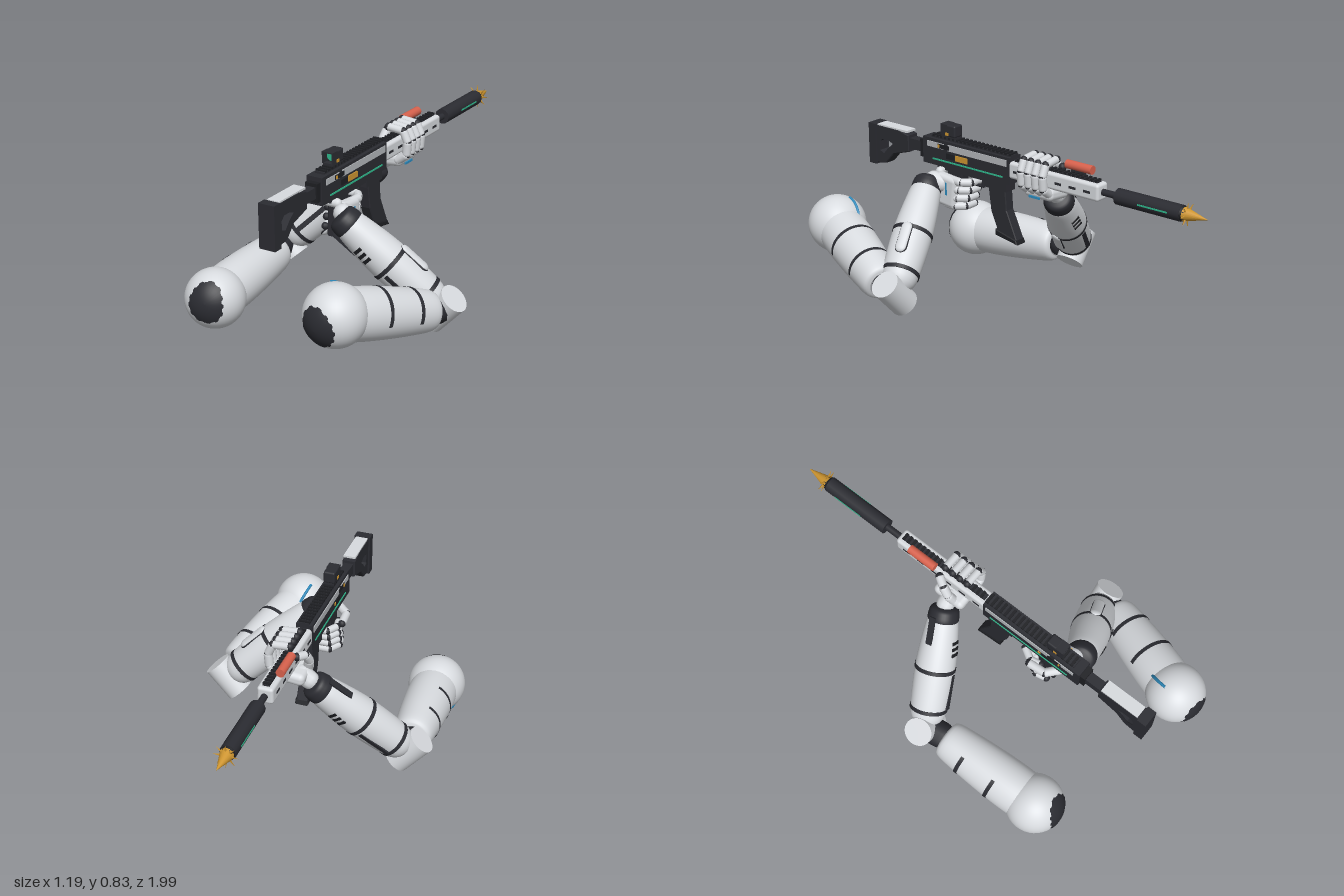
import * as THREE from 'three';
import { RoundedBoxGeometry } from 'three/addons/geometries/RoundedBoxGeometry.js';

const mat = (name, color) => Object.assign(new THREE.MeshStandardMaterial({ color }), { name });
const white = mat('armour white', 0xd8dbdf), dark = mat('charcoal', 0x2b2c32), black = mat('black', 0x1e1f23);
const grey = mat('panel grey', 0xb4b7bb), gold = mat('gold', 0xcf9630), red = mat('red', 0xd8624d);
const green = mat('green', 0x2fb88c), blue = mat('blue', 0x2e8cbf);
dark.side = THREE.DoubleSide;
const V = (x, y, z) => new THREE.Vector3(x, y, z);
const UP = V(0, 1, 0);

function add(parent, name, geo, material, x = 0, y = 0, z = 0) {
  const m = new THREE.Mesh(geo, material);
  m.name = name;
  m.position.set(x, y, z);
  parent.add(m);
  return m;
}
const box = (p, name, m, x, y, z, w, h, d) => add(p, name, new THREE.BoxGeometry(w, h, d), m, x, y, z);
// cylinder along z, from z0 (radius r0) forward to z1 (radius r1)
function rod(p, name, m, x, y, z0, z1, r0, r1 = r0, sides = 20) {
  const g = new THREE.CylinderGeometry(r1, r0, Math.abs(z1 - z0), sides).rotateX(-Math.PI / 2);
  return add(p, name, g, m, x, y, (z0 + z1) / 2);
}
// side profile in (z, y), extruded across x
function sidePlate(p, name, m, pts, width, hole) {
  const s = new THREE.Shape(pts.map(a => new THREE.Vector2(...a)));
  if (hole) s.holes.push(new THREE.Path(hole.map(a => new THREE.Vector2(...a))));
  const b = 0.004;
  const g = new THREE.ExtrudeGeometry(s, { depth: width - 2 * b, bevelThickness: b, bevelSize: b, bevelOffset: -b, bevelSegments: 1 });
  return add(p, name, g.translate(0, 0, b - width / 2).rotateY(-Math.PI / 2), m);
}
// rounded segment between two points
function segment(p, name, m, a, b, r) {
  const mesh = add(p, name, new THREE.CapsuleGeometry(r, a.distanceTo(b) - r * 0.75, 5, 12), m);
  mesh.position.copy(a).lerp(b, 0.5);
  mesh.quaternion.setFromUnitVectors(UP, b.clone().sub(a).normalize());
}
function finger(p, name, pts, r) {
  for (let i = 0; i < pts.length - 1; i++) {
    segment(p, name + 'Segment', white, pts[i], pts[i + 1], r * (1 - 0.05 * i));
    add(p, name + 'Joint', new THREE.SphereGeometry(r * 0.85, 10, 8), dark).position.copy(pts[i + 1]);
  }
}
// group whose +Y runs from a to b and whose +Z leans towards ref
function limbFrame(p, name, a, b, ref) {
  const g = new THREE.Group();
  g.name = name;
  const y = b.clone().sub(a).normalize();
  const z = ref.clone().addScaledVector(y, -ref.dot(y)).normalize();
  g.quaternion.setFromRotationMatrix(new THREE.Matrix4().makeBasis(y.clone().cross(z), y, z));
  g.position.copy(a);
  p.add(g);
  return g;
}
function lathe(p, name, m, len, profile) {
  const pts = new THREE.SplineCurve(profile.map(([r, t]) => new THREE.Vector2(r, t * len))).getPoints(24);
  return add(p, name, new THREE.LatheGeometry(pts, 36), m);
}
// ring, or part of a ring centred on +Z
const band = (p, y, r, arc = Math.PI * 2) =>
  add(p, 'armBand', new THREE.CylinderGeometry(r, r, 0.018, 32, 1, arc < 6, -arc / 2, arc), dark, 0, y, 0);

function buildRifle(root) {
  const g = new THREE.Group();
  g.name = 'rifle';
  root.add(g);
  // receiver
  box(g, 'receiver', dark, 0, 0.695, 0.28, 0.076, 0.125, 0.52);
  box(g, 'lowerReceiver', dark, 0, 0.63, 0.26, 0.056, 0.03, 0.4);
  box(g, 'magazineWell', dark, 0, 0.615, 0.11, 0.06, 0.05, 0.13);
  for (const s of [-1, 1]) {
    box(g, 'receiverPanel', grey, s * 0.039, 0.73, 0.21, 0.006, 0.03, 0.35);
    box(g, 'receiverRearPanel', grey, s * 0.039, 0.73, 0.46, 0.006, 0.026, 0.1);
    box(g, 'chargingSlot', black, s * 0.041, 0.73, 0.41, 0.006, 0.02, 0.07);
    box(g, 'slotTick', gold, s * 0.044, 0.73, 0.437, 0.008, 0.014, 0.008);
    box(g, 'portFrame', black, s * 0.039, 0.69, 0.37, 0.005, 0.026, 0.05);
    box(g, 'lightLine', green, s * 0.039, 0.662, 0.27, 0.005, 0.007, 0.42);
    box(g, 'suppressorLightLine', green, s * 0.0345, 0.7, -0.75, 0.005, 0.007, 0.15);
  }
  box(g, 'ejectionPort', gold, 0.039, 0.69, 0.303, 0.008, 0.026, 0.07);
  box(g, 'selectorMark', gold, -0.039, 0.69, 0.33, 0.006, 0.012, 0.014);
  // top rails
  box(g, 'topRail', dark, 0, 0.76, 0.26, 0.045, 0.012, 0.48);
  for (let i = 0; i < 20; i++) box(g, 'railTooth', black, 0, 0.768, 0.03 + i * 0.024, 0.05, 0.01, 0.012);
  box(g, 'frontRail', dark, 0, 0.742, -0.22, 0.03, 0.01, 0.46);
  for (let i = 0; i < 19; i++) box(g, 'frontRailTooth', black, 0, 0.748, -0.01 - i * 0.024, 0.034, 0.008, 0.012);
  // handguard and barrel
  add(g, 'handguard', new RoundedBoxGeometry(0.074, 0.078, 0.5, 2, 0.014), white, 0, 0.7, -0.22);
  for (const s of [-1, 1]) for (let i = 0; i < 6; i++)
    box(g, 'handguardSlot', dark, s * 0.037, 0.698, -0.02 - i * 0.078, 0.004, 0.011, 0.036);
  rod(g, 'barrel', dark, 0, 0.7, -0.46, -0.56, 0.015);
  rod(g, 'suppressor', dark, 0, 0.7, -0.55, -0.88, 0.036, 0.036, 12);
  rod(g, 'suppressorCollar', black, 0, 0.7, -0.88, -0.9, 0.034, 0.028, 12);
  rod(g, 'muzzleSpike', gold, 0, 0.7, -0.89, -1, 0.031, 0.001, 16);
  for (let i = 0; i < 8; i++) {
    const a = i * Math.PI / 4, d = V(Math.cos(a), Math.sin(a), -0.1).normalize();
    const m = add(g, 'muzzleThorn', new THREE.ConeGeometry(0.007, 0.04, 4), gold);
    m.position.set(0, 0.7, -0.9).addScaledVector(d, 0.037);
    m.quaternion.setFromUnitVectors(UP, d);
  }
  rod(g, 'sideCanister', red, -0.038, 0.77, -0.245, -0.385, 0.02);
  box(g, 'canisterMount', dark, -0.034, 0.745, -0.31, 0.016, 0.02, 0.07);
  // optic with a hooded lens
  box(g, 'opticBase', dark, 0, 0.772, 0.395, 0.048, 0.02, 0.08);
  add(g, 'opticBody', new RoundedBoxGeometry(0.054, 0.056, 0.055, 2, 0.008), dark, 0, 0.806, 0.38);
  rod(g, 'opticLens', green, 0, 0.806, 0.411, 0.405, 0.02, 0.02, 28);
  for (const s of [-1, 1]) {
    box(g, 'opticHoodSide', dark, s * 0.0245, 0.806, 0.42, 0.005, 0.05, 0.04);
    box(g, 'opticMark', gold, s * 0.027, 0.79, 0.4, 0.005, 0.014, 0.018);
  }
  box(g, 'opticHoodTop', dark, 0, 0.831, 0.42, 0.054, 0.005, 0.04);
  // stock
  box(g, 'stockTube', dark, 0, 0.697, 0.6, 0.045, 0.05, 0.13);
  box(g, 'stockHinge', black, 0, 0.695, 0.55, 0.06, 0.085, 0.03);
  sidePlate(g, 'stock', dark, [[0.64, 0.735], [0.7, 0.75], [0.85, 0.75], [0.85, 0.56], [0.79, 0.57], [0.74, 0.625], [0.64, 0.655]], 0.062,
    [[0.735, 0.675], [0.77, 0.69], [0.81, 0.69], [0.832, 0.67], [0.832, 0.625], [0.8, 0.612], [0.77, 0.645]]);
  box(g, 'cheekRest', white, 0, 0.75, 0.745, 0.058, 0.01, 0.19);
  box(g, 'buttPad', dark, 0, 0.655, 0.868, 0.078, 0.198, 0.044);
  // magazine, trigger guard and grip
  sidePlate(g, 'magazine', dark, [[0.16, 0.63], [0.058, 0.63], [0.048, 0.5], [-0.01, 0.37], [0.1, 0.39], [0.14, 0.48]], 0.052);
  sidePlate(g, 'magazineBase', black, [[0.112, 0.4], [-0.008, 0.372], [-0.018, 0.35], [0.112, 0.372]], 0.062);
  sidePlate(g, 'triggerGuard', dark, [[0.34, 0.63], [0.19, 0.63], [0.2, 0.57], [0.33, 0.57]], 0.02,
    [[0.325, 0.62], [0.205, 0.62], [0.213, 0.582], [0.32, 0.582]]);
  sidePlate(g, 'pistolGrip', dark, [[0.4, 0.64], [0.31, 0.64], [0.33, 0.45], [0.41, 0.44]], 0.05);
}

// shoulder ball with a ragged dark patch on its end and a thin curved mark
function buildShoulder(p, c, r, dir, seed, mark) {
  add(p, 'shoulder', new THREE.SphereGeometry(r, 40, 28), white).position.copy(c);
  const R = r * 1.012, g = new THREE.SphereGeometry(R, 80, 8, 0, Math.PI * 2, 0, 0.67), pos = g.attributes.position;
  const v = V(0, 0, 0);
  for (let i = 0; i < pos.count; i++) {
    v.fromBufferAttribute(pos, i);
    const phi = Math.atan2(v.z, v.x);
    const k = 1 + 0.1 * Math.cos(2 * phi) + 0.05 * Math.sin(3 * phi + seed) + 0.035 * Math.sign(Math.sin(13 * phi));
    const t = Math.acos(Math.min(1, v.y / R)) * k;
    pos.setXYZ(i, R * Math.cos(phi) * Math.sin(t), R * Math.cos(t), R * Math.sin(phi) * Math.sin(t));
  }
  g.computeVertexNormals();
  const patch = limbFrame(p, 'shoulderPatch', c, c.clone().add(dir), V(1, 0, 0));
  add(patch, 'patch', g, dark);
  const arc = [0, 0.33, 0.67, 1].map(t => mark[0].clone().lerp(mark[1], t).setLength(r * 1.005).add(c));
  add(p, 'shoulderMark', new THREE.TubeGeometry(new THREE.CatmullRomCurve3(arc), 16, 0.007, 6), blue);
}

function buildArm(root, o) {
  const p = new THREE.Group();
  p.name = o.name;
  root.add(p);
  buildShoulder(p, o.shoulder, 0.136, o.patch, o.seed, o.mark);
  // upper arm
  const u = limbFrame(p, 'upperArm', o.shoulder, o.upperEnd, o.upperRef), ul = o.shoulder.distanceTo(o.upperEnd);
  lathe(u, 'upperArmShell', white, ul, [[0.11, 0], [0.114, 0.25], [0.11, 0.5], [0.101, 0.75], [0.088, 0.96], [0.06, 1]]);
  band(u, ul * 0.4, 0.1145, o.arc);
  band(u, ul * 0.74, 0.1045, o.arc);
  segment(p, 'elbowLink', dark, o.upperEnd, o.elbow, 0.062);
  // elbow drum
  const e = add(p, 'elbowDrum', new THREE.CylinderGeometry(0.066, 0.066, 0.17, 32), white);
  e.position.copy(o.elbow);
  e.quaternion.setFromUnitVectors(UP, o.axis.normalize());
  // forearm
  const f = limbFrame(p, 'forearm', o.elbow, o.wrist, o.foreRef), fl = o.elbow.distanceTo(o.wrist);
  lathe(f, 'forearmShell', white, fl, [[0.05, 0.04], [0.08, 0.12], [0.09, 0.35], [0.09, 0.55], [0.08, 0.75], [0.066, 0.9], [0.04, 0.905]]);
  band(f, fl * 0.5, 0.0935);
  band(f, fl * 0.17, 0.087);
  lathe(f, 'wristCuff', dark, fl, [[0.05, 0.87], [0.068, 0.88], [0.069, 0.93], [0.056, 0.98], [0.001, 1.0]]);
  // pill hatch, vents and edge strips
  for (const [m, r, d] of [[dark, 0.029, 0.084], [white, 0.026, 0.089]]) {
    const h = add(f, 'forearmHatch', new THREE.CapsuleGeometry(r, 0.1, 6, 14), m, 0, fl * 0.4, d);
    h.scale.z = 0.5;
  }
  for (const a of o.ventAngles) {
    const vents = new THREE.Group();
    vents.name = 'forearmVents';
    vents.rotation.y = a;
    f.add(vents);
    for (let i = 0; i < 3; i++) box(vents, 'vent', black, 0, fl * 0.64 + i * 0.028, 0.084 - i * 0.003, 0.046, 0.015, 0.009);
    box(vents, 'seam', dark, 0.01, fl * 0.33, 0.089, 0.022, 0.17, 0.008);
  }
  box(f, 'wristStrip', dark, 0, fl * 0.82, -0.082, 0.03, 0.13, 0.008);
  return p;
}

export function createModel() {
  const root = new THREE.Group();
  root.name = 'armsWithRifle';
  buildRifle(root);

  // supporting arm on the model's right
  const r = buildArm(root, {
    name: 'rightArm', shoulder: V(-0.455, 0.137, 0.652), upperEnd: V(-0.475, 0.17, 0.15), elbow: V(-0.493, 0.178, 0.05),
    wrist: V(-0.09, 0.585, -0.15), axis: V(-0.65, 0.74, 0.05), patch: V(0.29, 0.22, 1), seed: 1,
    upperRef: V(-1, -0.2, 0), foreRef: V(1, -0.9, 0.2), arc: 2.6, ventAngles: [1.45, -1.45],
    mark: [V(-0.66, -0.7, -0.6), V(-0.66, -0.7, 0.05)],
  });
  segment(r, 'wrist', white, V(-0.1, 0.585, -0.15), V(-0.04, 0.63, -0.15), 0.042);
  add(r, 'palm', new RoundedBoxGeometry(0.14, 0.06, 0.16, 3, 0.025), white, -0.015, 0.632, -0.148).rotation.z = 0.1;
  box(r, 'palmMark', blue, 0.058, 0.617, -0.14, 0.006, 0.01, 0.06);
  for (let i = 0; i < 4; i++) {
    const z = -0.085 - i * 0.04;
    finger(r, 'finger', [V(0.03, 0.635, z), V(0.078, 0.67, z), V(0.084, 0.73, z), V(0.062, 0.78, z), V(-0.015, 0.787, z)], 0.021);
  }
  finger(r, 'thumb', [V(-0.065, 0.63, -0.12), V(-0.082, 0.69, -0.14), V(-0.075, 0.735, -0.17), V(-0.05, 0.745, -0.21)], 0.022);

  // trigger arm on the model's left
  const l = buildArm(root, {
    name: 'leftArm', shoulder: V(0.3, 0.328, 0.855), upperEnd: V(0.48, 0.2, 0.39), elbow: V(0.488, 0.178, 0.31),
    wrist: V(0.07, 0.58, 0.47), axis: V(0.68, 0.73, 0.02), patch: V(-0.11, -0.15, 1), seed: 3,
    upperRef: V(0.3, 1, 0.2), foreRef: V(1, 0.7, -0.4), arc: 2.8, ventAngles: [-2.0],
    mark: [V(-0.017, 0.05, -0.125), V(-0.05, 0.121, -0.035)],
  });
  box(l, 'forearmMark', blue, 0.25, 0.445, 0.478, 0.022, 0.01, 0.01).rotation.z = -0.75;
  segment(l, 'wrist', white, V(0.08, 0.58, 0.455), V(0.06, 0.56, 0.39), 0.042);
  add(l, 'palm', new RoundedBoxGeometry(0.055, 0.15, 0.13, 3, 0.022), white, 0.055, 0.535, 0.375).rotation.x = -0.1;
  box(l, 'palmMark', blue, 0.082, 0.55, 0.36, 0.006, 0.06, 0.008);
  for (let i = 0; i < 4; i++) {
    const y = 0.59 - i * 0.04, z = i * 0.012;
    finger(l, 'finger', [V(0.055, y, 0.35 + z), V(0.06, y, 0.29 + z), V(0.03, y, 0.25 + z), V(-0.03, y, 0.25 + z),
      V(-0.06, y, 0.3 + z), V(-0.05, y, 0.35 + z)], 0.02);
  }
  finger(l, 'thumb', [V(0.05, 0.61, 0.43), V(-0.02, 0.615, 0.44), V(-0.075, 0.61, 0.39), V(-0.08, 0.605, 0.31)], 0.021);
  return root;
}
